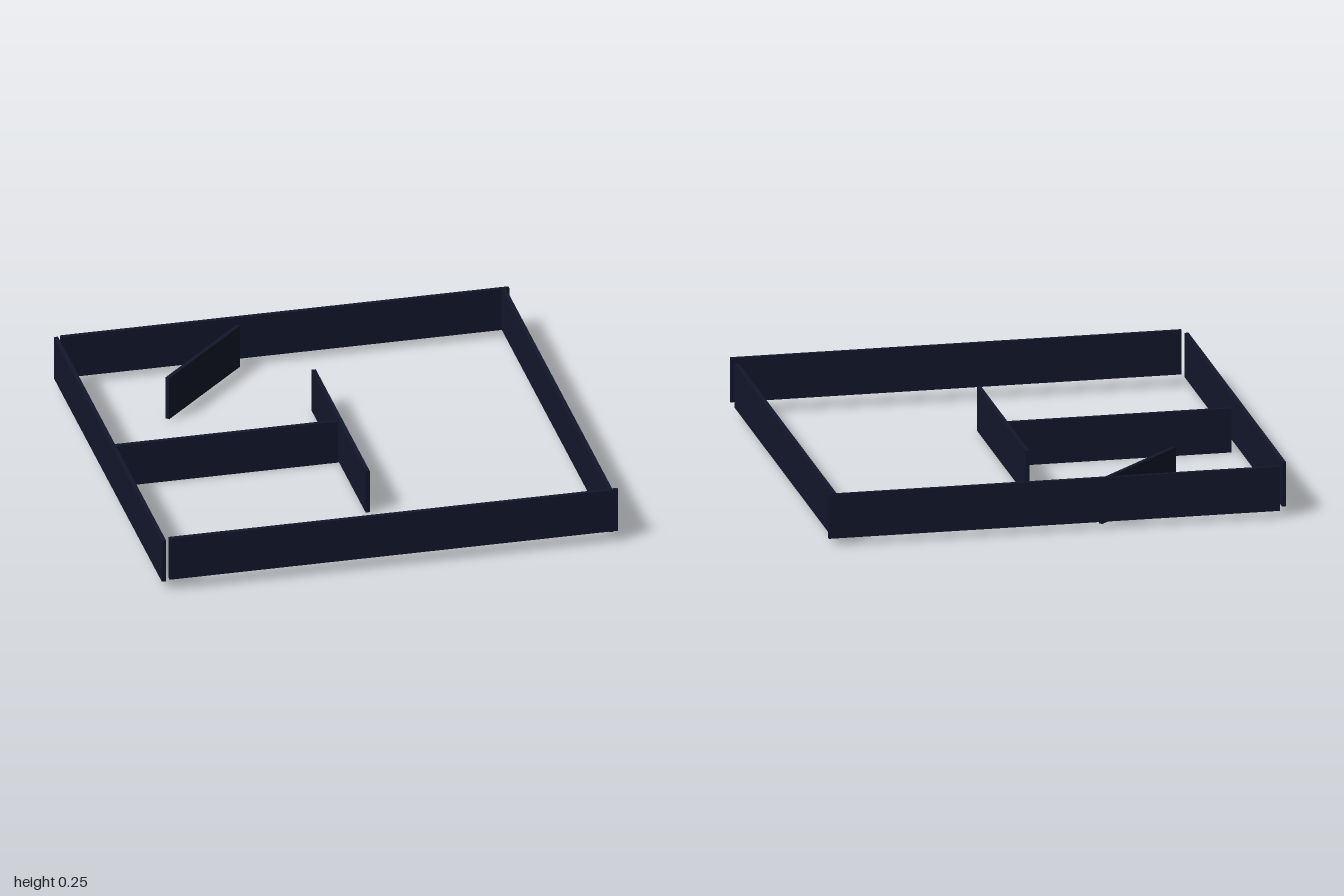
import * as THREE from 'three';

const THICK = 0.018;
const HEIGHT = 0.195;

export function createModel() {
  const model = new THREE.Group();
  const material = new THREE.MeshStandardMaterial({ color: 0x12172b });

  // A thin upright panel: centre x/z, base height, length and turn about y
  function addWall(name, x, z, base, length, turn = 0) {
    const wall = new THREE.Mesh(new THREE.BoxGeometry(length, HEIGHT, THICK), material);
    wall.name = name;
    wall.position.set(x, base + HEIGHT / 2, z);
    wall.rotation.y = turn;
    model.add(wall);
  }

  // Outer enclosure, each wall slightly offset from its neighbours
  addWall('frontWall', 0.01, 0.989, 0.053, 1.955);
  addWall('backWall', 0.013, -0.991, 0.03, 1.955);
  addWall('rightWall', -0.989, 0.006, 0.04, 1.955, Math.PI / 2);
  addWall('leftWall', 0.965, -0.013, 0.033, 1.955, Math.PI / 2);

  // Inner partitions
  addWall('crossPartition', -0.48, 0.01 - 0.018, 0, 0.977);
  addWall('centrePartition', 0.016, 0.01, 0.009, 0.978, Math.PI / 2);
  addWall('diagonalPartition', -0.401, -0.752, 0.009, 0.576, Math.PI / 4);

  return model;
}
